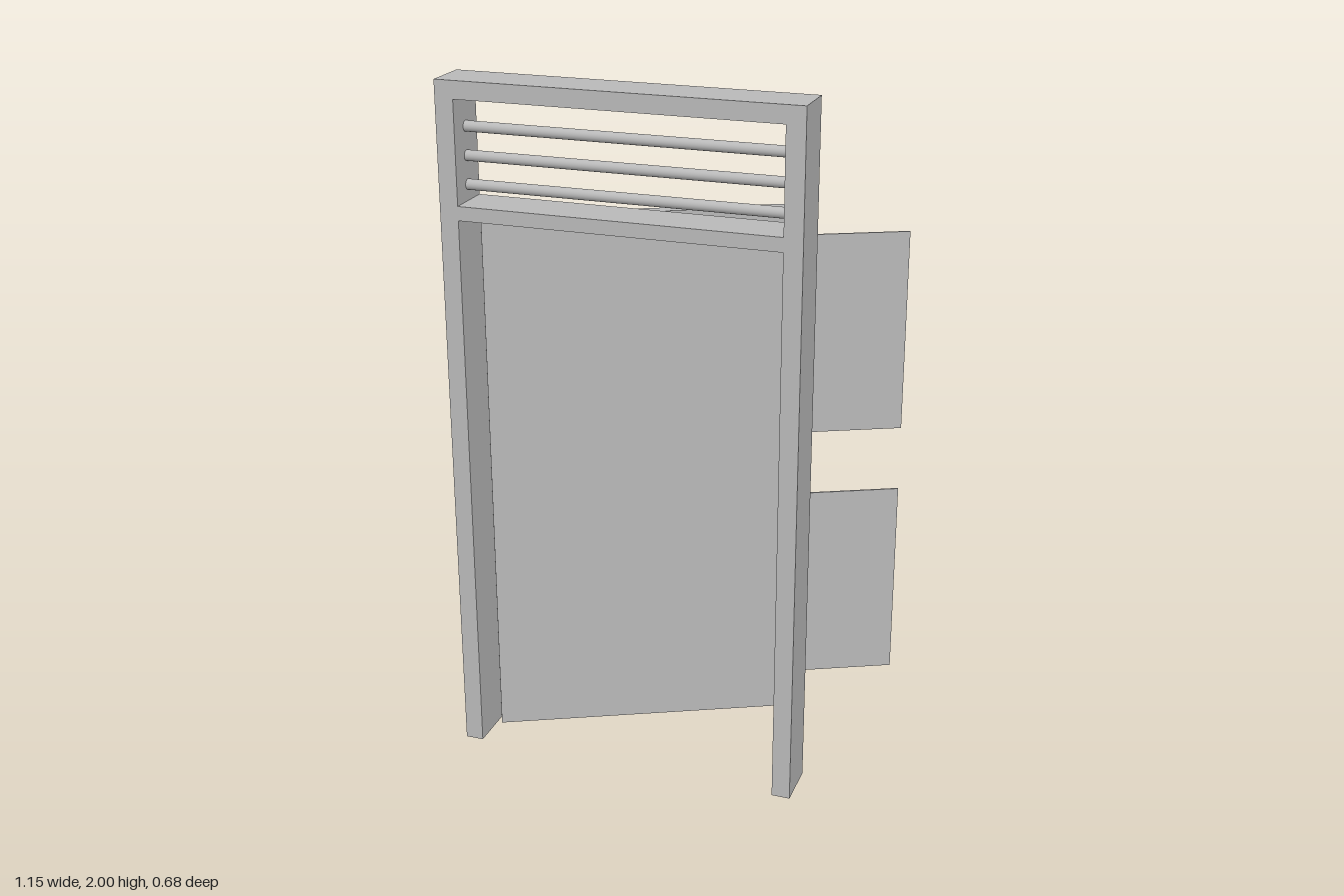
import * as THREE from 'three';

export function createModel() {
  const model = new THREE.Group();
  model.name = 'doorWithFrame';
  const grey = new THREE.MeshStandardMaterial({ color: 0xb8b8b8 });
  grey.name = 'plain grey';

  // Box given by its minimum and maximum corners
  const box = (parent, name, [x0, y0, z0], [x1, y1, z1]) => {
    const mesh = new THREE.Mesh(new THREE.BoxGeometry(x1 - x0, y1 - y0, z1 - z0), grey);
    mesh.position.set((x0 + x1) / 2, (y0 + y1) / 2, (z0 + z1) / 2);
    mesh.name = name;
    parent.add(mesh);
  };
  // Round bar lying along x
  const bar = (parent, name, x0, x1, y, z, radius) => {
    const geometry = new THREE.CylinderGeometry(radius, radius, x1 - x0, 24).rotateZ(Math.PI / 2);
    const mesh = new THREE.Mesh(geometry, grey);
    mesh.position.set((x0 + x1) / 2, y, z);
    mesh.name = name;
    parent.add(mesh);
  };

  // Frame: two posts, head beam and transom
  const frame = new THREE.Group();
  frame.name = 'frame';
  const outerL = -0.575, innerL = -0.522, innerR = 0.389, outerR = 0.442;
  const back = 0.2, front = 0.338;
  box(frame, 'rightPost', [outerL, 0, back], [innerL, 2, front]);
  box(frame, 'leftPost', [innerR, 0, back], [outerR, 2, front]);
  box(frame, 'headBeam', [innerL, 1.95, back], [innerR, 2, front]);
  box(frame, 'transom', [innerL, 1.62, back], [innerR, 1.66, front]);

  // Three bars across the opening above the door
  for (const y of [1.705, 1.785, 1.865]) bar(frame, 'transomBar', innerL, innerR, y, 0.269, 0.015);
  model.add(frame);

  // Door leaf swung open to the back around the hinge
  const door = new THREE.Group();
  door.name = 'door';
  door.position.set(innerL, 0, back);
  door.rotation.y = THREE.MathUtils.degToRad(26);
  box(door, 'doorLeaf', [0, 0, 0], [0.884, 1.605, 0.035]);

  // Thin sheets on the back of the door, reaching past its free edge
  for (const y of [0.1, 0.905]) box(door, 'sheet', [0.547, y, -0.006], [1.22, y + 0.607, -0.001]);

  // Handle
  bar(door, 'handle', 0.767, 0.872, 0.852, -0.007, 0.01);
  model.add(door);

  return model;
}
